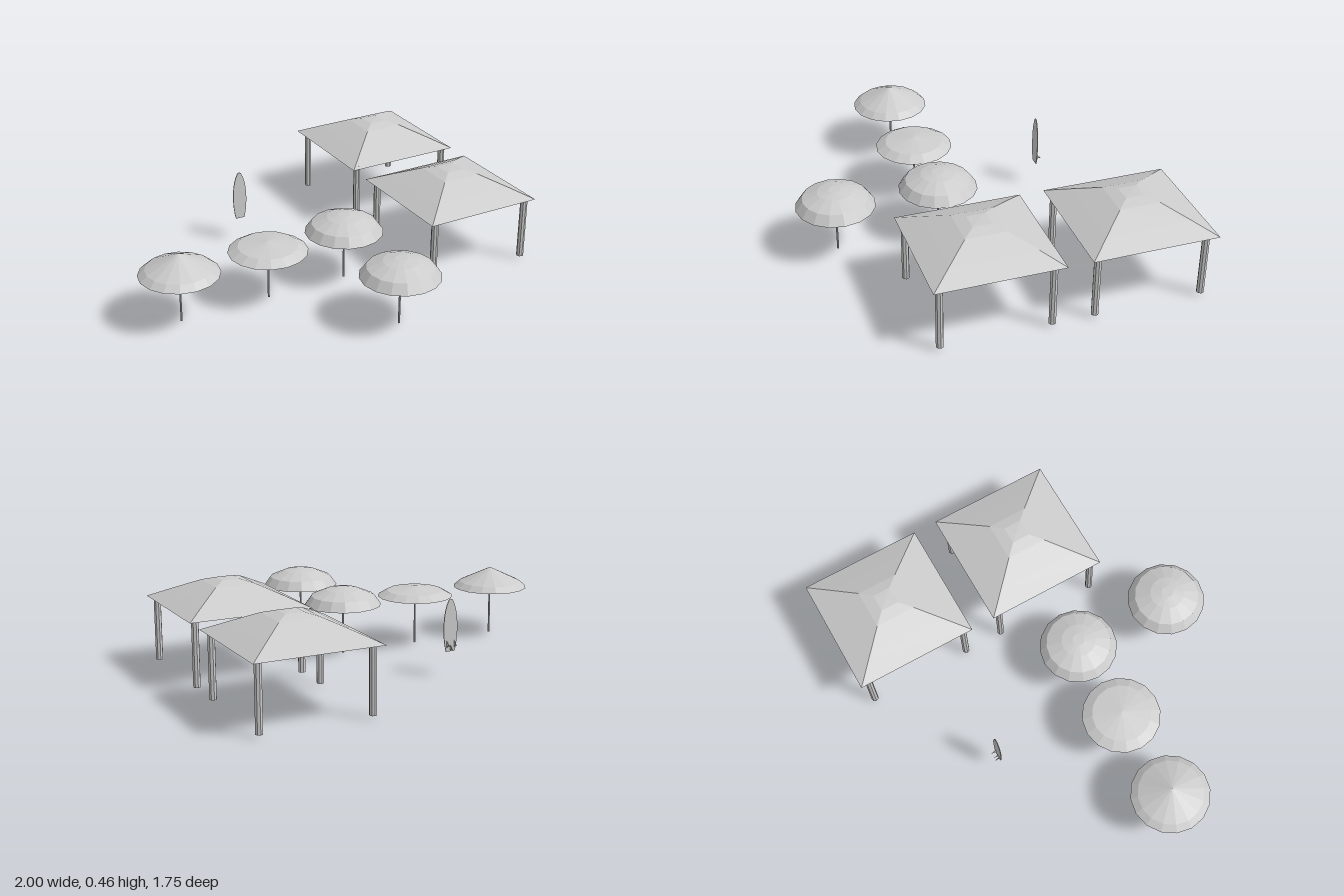
import * as THREE from 'three';

const mat = new THREE.MeshStandardMaterial({ color: 0xcccccc, flatShading: true, side: THREE.DoubleSide });

function part(name, geometry, x = 0, y = 0, z = 0) {
  const mesh = new THREE.Mesh(geometry, mat);
  mesh.name = name;
  mesh.position.set(x, y, z);
  return mesh;
}

// Open faceted shell from [radius, height] pairs
function shell(profile, sides, scale = 1) {
  return new THREE.LatheGeometry(profile.map(([r, y]) => new THREE.Vector2(r * scale, y)), sides);
}

// Canopy profiles, rim to apex
const pointed = [[0.194, 0.253], [0.16, 0.282], [0, 0.358]];
const shallow = [[0.194, 0.253], [0.145, 0.282], [0, 0.304]];
const domed = [[0.194, 0.253], [0.16, 0.3], [0.085, 0.332], [0.03, 0.343], [0, 0.343]];

function umbrella(profile, x, z) {
  const g = new THREE.Group();
  g.name = 'umbrella';
  const top = profile[profile.length - 1][1] - 0.005;
  g.add(part('canopy', shell(profile, 16)));
  g.add(part('pole', new THREE.CylinderGeometry(0.005, 0.005, top, 8), 0, top / 2, 0));
  g.position.set(x, 0, z);
  return g;
}

function pavilion(x, z) {
  const g = new THREE.Group();
  g.name = 'pavilion';
  // Square hipped roof with a gently curved slope
  const roof = shell([[0.308, 0.335], [0.21, 0.384], [0.1, 0.437], [0.045, 0.454], [0, 0.457]], 4, Math.SQRT2);
  roof.rotateY(Math.PI / 4);
  g.add(part('roof', roof));
  for (const sx of [-1, 1]) for (const sz of [-1, 1]) {
    g.add(part('post', new THREE.CylinderGeometry(0.018, 0.018, 0.33, 8), sx * 0.267, 0.18, sz * 0.265 + 0.006));
  }
  g.position.set(x, 0, z);
  return g;
}

function surfboard(x, y, z) {
  const g = new THREE.Group();
  g.name = 'surfboard';
  // Upright outline: squared tail, rounded nose
  const outline = new THREE.Shape();
  outline.moveTo(-0.024, 0);
  outline.bezierCurveTo(-0.045, 0.08, -0.042, 0.2, -0.01, 0.252);
  outline.quadraticCurveTo(0, 0.262, 0.01, 0.252);
  outline.bezierCurveTo(0.042, 0.2, 0.045, 0.08, 0.024, 0);
  outline.closePath();
  const board = new THREE.ExtrudeGeometry(outline, { depth: 0.004, bevelEnabled: false, curveSegments: 8 });
  g.add(part('board', board, 0, 0, -0.002));
  // Swept fins on the rear face: one central, two at the sides
  const fin = new THREE.Shape();
  fin.moveTo(0, 0.025);
  fin.lineTo(0.026, 0);
  fin.lineTo(0.012, 0.003);
  fin.lineTo(0, -0.012);
  for (const [fx, fy, s] of [[0, 0.012, 0.8], [-0.02, 0.029, 1], [0.02, 0.029, 1]]) {
    const geo = new THREE.ExtrudeGeometry(fin, { depth: 0.002, bevelEnabled: false });
    geo.translate(0, 0, -0.001).rotateY(Math.PI / 2).scale(1, s, s);
    g.add(part('fin', geo, fx, fy, -0.001));
  }
  g.position.set(x, y, z);
  return g;
}

export function createModel() {
  const model = new THREE.Group();
  model.name = 'beachFurniture';
  model.add(
    umbrella(pointed, -0.807, 0.167),
    umbrella(shallow, -0.347, 0.167),
    umbrella(domed, 0.072, 0.167),
    umbrella(domed, 0.072, 0.68),
    pavilion(0.69, 0.166),
    pavilion(0.69, -0.57),
    surfboard(-0.195, 0.124, -0.444),
  );
  return model;
}
